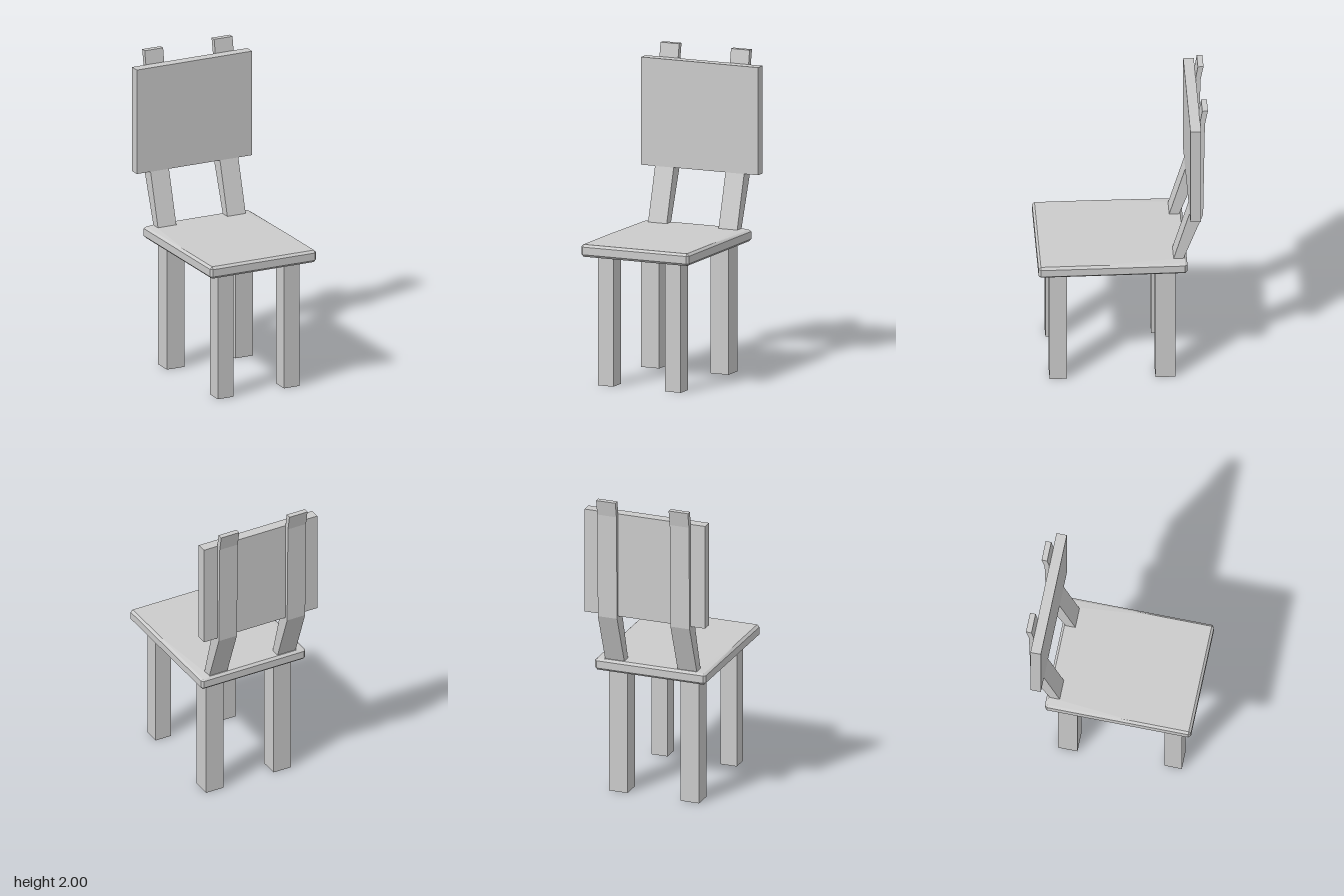
import * as THREE from 'three';
import { ConvexGeometry } from 'three/addons/geometries/ConvexGeometry.js';

const material = new THREE.MeshStandardMaterial({ color: 0xcccccc, flatShading: true });

export function createModel() {
  const chair = new THREE.Group();
  chair.name = 'chair';

  const add = (name, geometry, x = 0, y = 0, z = 0) => {
    const mesh = new THREE.Mesh(geometry, material);
    mesh.name = name;
    mesh.position.set(x, y, z);
    chair.add(mesh);
    return mesh;
  };
  const v = (x, y, z) => new THREE.Vector3(x, y, z);

  // Seat: a slab with chamfered edges, its top easing down at the rear corners
  const X = 0.37, BOTTOM = 0.817, TOP = 0.895, BACK = -0.4, FRONT = 0.525, C = 0.015;
  const points = [];
  for (const s of [-1, 1]) {
    for (const [z, dir] of [[FRONT, -1], [BACK, 1]]) {
      const zIn = z + dir * C;
      const rearDrop = dir > 0 ? 0.006 : 0;
      points.push(v(s * (X - C), BOTTOM, zIn), v(s * (X - C), TOP - rearDrop, zIn));
      for (const y of [BOTTOM + C, TOP - C]) {
        points.push(v(s * X, y, zIn), v(s * (X - C), y, z));
      }
    }
    points.push(v(s * (X - C), TOP, 0.16), v(s * 0.305, TOP, BACK + C));
  }
  add('seat', new ConvexGeometry(points));

  // Back post profile in (z, y): leans back, then runs upright behind the panel
  const postShape = new THREE.Shape([
    [-0.31, 0.87], [-0.315, 0.89], [-0.42, 1.245], [-0.48, 1.91], [-0.495, 2],
    [-0.53, 2], [-0.511, 1.9], [-0.5, 1.22], [-0.377, 0.89], [-0.37, 0.87],
  ].map(([z, y]) => new THREE.Vector2(-z, y)));
  const postWidth = 0.128;
  const postGeometry = new THREE.ExtrudeGeometry(postShape, { depth: postWidth, bevelEnabled: false });
  postGeometry.translate(0, 0, -postWidth / 2);
  postGeometry.rotateY(Math.PI / 2);

  // Legs and back posts, one set per side
  const legHeight = 0.825;
  for (const [side, s] of [['left', 1], ['right', -1]]) {
    add(side + 'FrontLeg', new THREE.BoxGeometry(0.108, legHeight, 0.108), s * 0.231, legHeight / 2, 0.398);
    add(side + 'BackLeg', new THREE.BoxGeometry(0.124, legHeight, 0.124), s * 0.239, legHeight / 2, -0.267);
    add(side + 'BackPost', postGeometry, s * 0.242);
  }

  // Backrest panel
  add('backrestPanel', new THREE.BoxGeometry(0.804, 0.68, 0.066), 0, 1.572, -0.449);

  return chair;
}
